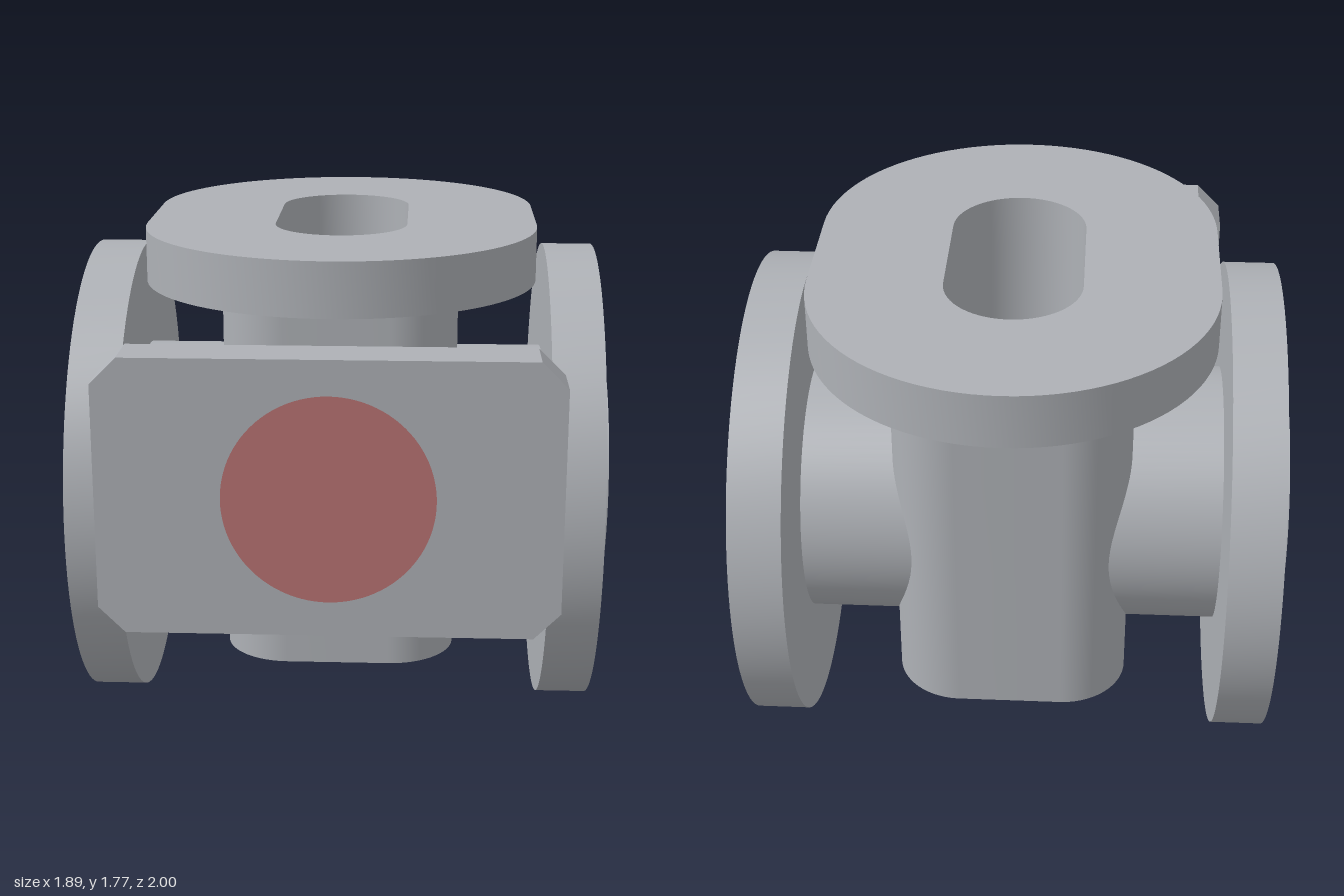
import * as THREE from 'three';
import { toCreasedNormals } from 'three/addons/utils/BufferGeometryUtils.js';

const AXIS_Y = 0.83, AXIS_Z = -0.113, BORE = 0.24;

// Right half of a rounded rectangle in plan, running from back centre to front centre
function halfOutline(hx, hz, r) {
  const quarter = [];
  const straight = hz - r;
  for (let i = 1; i <= 24; i++) quarter.push([hx, straight * i / 24]);
  for (let i = 1; i <= 24; i++) {
    const a = (i / 24) * Math.PI / 2;
    quarter.push([hx - r + r * Math.cos(a), straight + r * Math.sin(a)]);
  }
  if (hx - r > 0.001) quarter.push([0, hz]);
  const back = quarter.map(([x, z]) => [x, -z]).reverse();
  return [...back, [hx, 0], ...quarter];
}

function outlinePoints(hx, hz, r) {
  const half = halfOutline(hx, hz, r).slice(0, -1);
  return [...half, ...half.map(([x, z]) => [-x, -z])].map(([x, z]) => new THREE.Vector2(x, z));
}

// Upright wall around a rounded rectangle, with a round opening through both x sides
function boredWall(hx, hz, r, hole, y0, y1) {
  const half = halfOutline(hx, hz, r);
  const pos = [];
  const gap = (z) => Math.sqrt(Math.max(0, hole * hole - z * z));
  for (const s of [1, -1]) {
    for (let i = 0; i < half.length - 1; i++) {
      const [ax, az] = half[i], [bx, bz] = half[i + 1];
      const ga = gap(az), gb = gap(bz);
      for (const [a0, a1, b0, b1] of [
        [y0, AXIS_Y - ga, y0, AXIS_Y - gb],
        [AXIS_Y + ga, y1, AXIS_Y + gb, y1],
      ]) {
        const A = [s * ax, a0, s * az], B = [s * ax, a1, s * az];
        const C = [s * bx, b1, s * bz], D = [s * bx, b0, s * bz];
        pos.push(...A, ...B, ...C, ...A, ...C, ...D);
      }
    }
  }
  const g = new THREE.BufferGeometry();
  g.setAttribute('position', new THREE.Float32BufferAttribute(pos, 3));
  return toCreasedNormals(g, 0.6);
}

export function createModel() {
  const group = new THREE.Group();
  const metal = new THREE.MeshStandardMaterial({ color: 0xaeb1b6, side: THREE.DoubleSide });
  metal.name = 'grey metal';
  const red = new THREE.MeshStandardMaterial({ color: 0xb87373 });
  red.name = 'muted red';

  function add(name, geometry, material, x, y, z) {
    const mesh = new THREE.Mesh(geometry, material);
    mesh.name = name;
    mesh.position.set(x, y, z);
    group.add(mesh);
    return mesh;
  }

  // Body block with rounded upright edges, and the slot running down inside it
  const body = [0.41, 0.52, 0.23];
  const slot = [0.23, 0.433, 0.23];
  add('bodyWall', boredWall(...body, 0.28, 0.25, 1.6), metal, 0, 0, AXIS_Z);
  add('bodyBottom', new THREE.ShapeGeometry(new THREE.Shape(outlinePoints(...body))).rotateX(Math.PI / 2),
    metal, 0, 0.25, AXIS_Z);
  add('slotWall', boredWall(...slot, BORE, 0.42, 1.6), metal, 0, 0, AXIS_Z);
  add('slotFloor', new THREE.ShapeGeometry(new THREE.Shape(outlinePoints(...slot))).rotateX(-Math.PI / 2),
    metal, 0, 0.42, AXIS_Z);

  // Oblong top flange with slot
  const top = new THREE.Shape(outlinePoints(0.68, 0.885, 0.68));
  top.holes.push(new THREE.Path(outlinePoints(...slot)));
  const topGeo = new THREE.ExtrudeGeometry(top, { depth: 0.185, bevelEnabled: false }).rotateX(-Math.PI / 2);
  add('topFlange', toCreasedNormals(topGeo, 0.6), metal, 0, 1.59, AXIS_Z);

  // Side pipes with round flanges, raised faces and a through bore
  const profile = [
    [0.455, 0.25], [0.455, 0.72], [0.83, 0.72], [0.83, 0.898],
    [0.455, 0.898], [0.455, 0.943], [BORE, 0.943], [BORE, 0.225],
  ].map(([r, h]) => new THREE.Vector2(r, h));
  const pipe = toCreasedNormals(new THREE.LatheGeometry(profile, 96), 0.6);
  for (const [name, s] of [['leftPipeFlange', 1], ['rightPipeFlange', -1]]) {
    add(name, pipe, metal, 0, AXIS_Y, AXIS_Z).rotation.z = -s * Math.PI / 2;
  }

  // Front pipe and chamfered plate
  const PORT_Y = 1.06;
  add('frontPipe', new THREE.CylinderGeometry(0.282, 0.282, 0.48, 64, 1, true).rotateX(Math.PI / 2),
    metal, 0, PORT_Y, 0.59);
  const w = 0.74, h = 0.455, c = 0.086;
  const plate = new THREE.Shape([
    [w - c, -h], [w, c - h], [w, h - c], [w - c, h],
    [c - w, h], [-w, h - c], [-w, c - h], [c - w, -h],
  ].map(([x, y]) => new THREE.Vector2(x, y)));
  add('frontPlate', new THREE.ExtrudeGeometry(plate, { depth: 0.18, bevelEnabled: false }),
    metal, 0, PORT_Y, 0.82);

  // Painted disc on the plate
  add('frontDisc', new THREE.CircleGeometry(0.34, 96), red, 0, PORT_Y, 1.002);

  return group;
}
